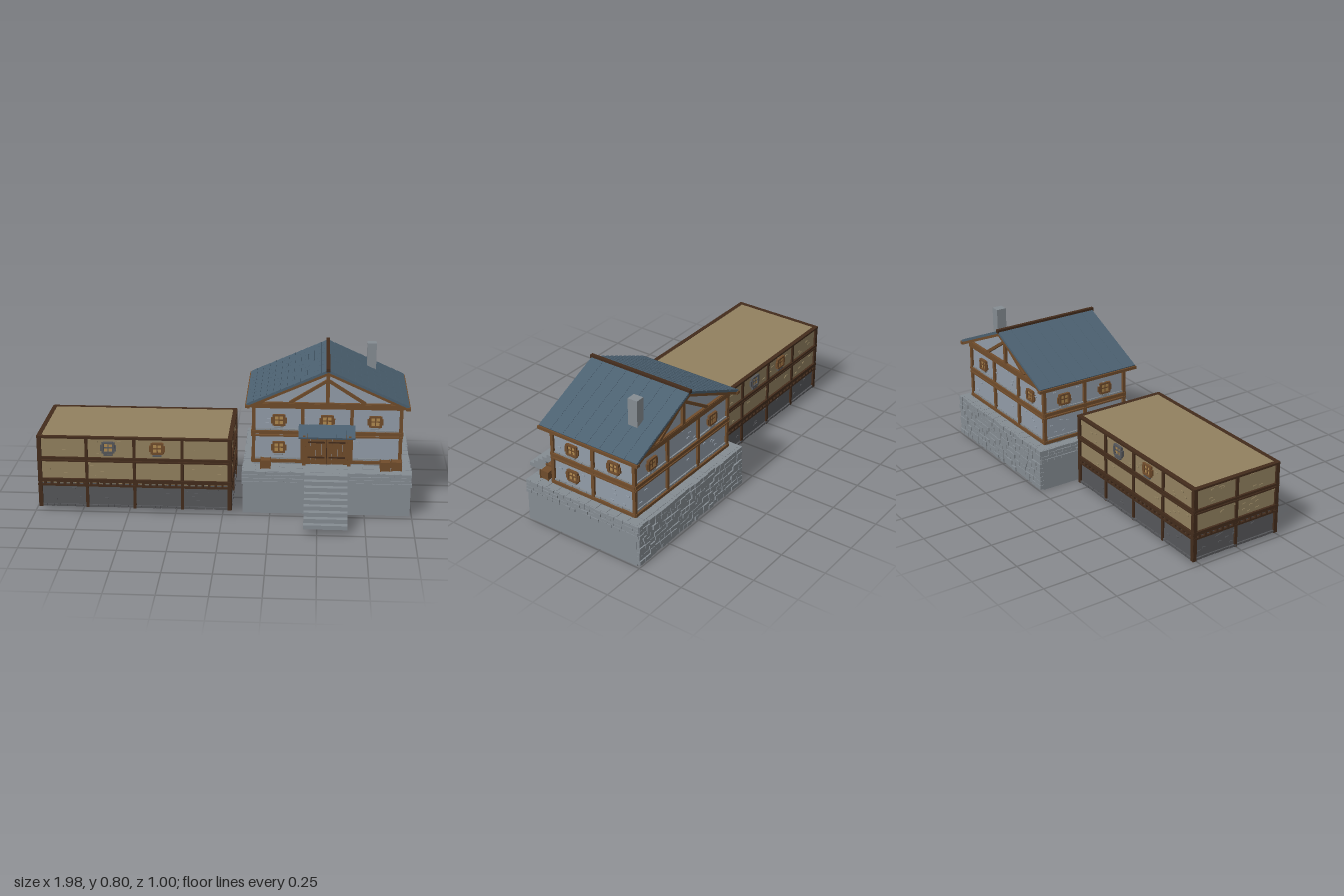
import * as THREE from 'three';
import { mergeGeometries } from 'three/addons/utils/BufferGeometryUtils.js';

const mat = (name, color) => new THREE.MeshStandardMaterial({ name, color });

// axis-aligned box from its limits
const box = (x0, x1, y0, y1, z0, z1) =>
  new THREE.BoxGeometry(x1 - x0, y1 - y0, z1 - z0).translate((x0 + x1) / 2, (y0 + y1) / 2, (z0 + z1) / 2);

// beam between two points of an upright plane
const strut = (xa, ya, xb, yb, w, z0, z1) =>
  new THREE.BoxGeometry(Math.hypot(xb - xa, yb - ya), w, z1 - z0)
    .rotateZ(Math.atan2(yb - ya, xb - xa))
    .translate((xa + xb) / 2, (ya + yb) / 2, (z0 + z1) / 2);

function add(parent, name, material, geos) {
  const mesh = new THREE.Mesh(mergeGeometries([geos].flat()), material);
  mesh.name = name;
  parent.add(mesh);
  return mesh;
}

function group(parent, name, x = 0, y = 0, z = 0, turn = 0) {
  const g = new THREE.Group();
  g.name = name;
  g.position.set(x, y, z);
  g.rotation.y = turn;
  parent.add(g);
  return g;
}

export function createModel() {
  const M = {
    stone: mat('stone', 0x858c92),
    plaster: mat('greyPlaster', 0x929ca8),
    timber: mat('timber', 0x704c2b),
    roof: mat('slateBlue', 0x4b6070),
    darkTimber: mat('darkTimber', 0x432c1c),
    tan: mat('tanPlaster', 0x92815f),
    darkStone: mat('darkStone', 0x56575a),
    glass: mat('warmGlass', 0xb08a50),
  };
  let seed = 7;
  const rnd = () => (seed = (seed * 16807) % 2147483647) / 2147483647;
  const model = new THREE.Group();
  model.name = 'inn';

  // courses of irregular stones on a wall facing local +z
  function stones(u0, u1, y0, y1, rows, size, depth) {
    const out = [], h = (y1 - y0) / rows;
    for (let r = 0; r < rows; r++) {
      for (let u = u0; u < u1 - 0.002;) {
        let e = u + size * (0.7 + 0.6 * rnd());
        if (e > u1 - size * 0.5) e = u1;
        out.push(box(u + 0.001, e - 0.001, y0 + r * h + 0.001, y0 + (r + 1) * h - 0.001, -0.004, depth * (0.6 + 0.4 * rnd())));
        u = e;
      }
    }
    return out;
  }

  // four-pane window with frame, side blocks and sill, facing local +z
  function windowAt(face, x, y, frame, sill) {
    const g = group(face, 'window', x, y, 0);
    add(g, 'panes', M.glass, box(-0.023, 0.023, -0.024, 0.024, 0, 0.006));
    const f = [box(-0.003, 0.003, -0.024, 0.024, 0, 0.009), box(-0.023, 0.023, -0.003, 0.003, 0, 0.009)];
    for (const s of [-1, 1]) {
      f.push(box(s * 0.028 - 0.006, s * 0.028 + 0.006, -0.03, 0.03, 0, 0.013));
      f.push(box(s * 0.037 - 0.005, s * 0.037 + 0.005, -0.018, 0.014, 0, 0.01));
      f.push(box(-0.027, 0.027, s * 0.027 - 0.005, s * 0.027 + 0.005, 0, 0.014));
    }
    add(g, 'frame', frame, f);
    add(g, 'sill', sill, box(-0.025, 0.022, -0.044, -0.035, 0, 0.012));
  }

  // small stones showing through the plaster
  function chips(width, y0, y1, n) {
    return Array.from({ length: n }, () => {
      const x = (rnd() - 0.5) * width * 0.92, y = y0 + (y1 - y0) * rnd();
      return box(x, x + 0.018, y, y + 0.007, -0.002, 0.004);
    });
  }

  // ---- Terrace ----
  const terrace = group(model, 'terrace');
  add(terrace, 'base', M.stone, [box(0.105, 0.99, 0, 0.165, -0.478, 0.212), box(0.108, 0.985, 0.16, 0.234, -0.478, 0.212)]);
  const sides = [
    ['front', 0.545, 0.21, 0, 0.445], ['left', 0.985, -0.135, Math.PI / 2, 0.355], ['right', 0.108, -0.135, -Math.PI / 2, 0.355],
  ];
  for (const [n, x, z, turn, half] of sides) {
    const g = group(terrace, n + 'Band', x, 0, z, turn);
    const spans = n === 'front' ? [[-half, -0.12], [0.12, half]] : [[-half, half]];
    for (const [a, b] of spans) add(g, 'stones', M.stone, stones(a, b, 0.163, 0.236, 4, 0.04, 0.011));
  }
  const rear = group(terrace, 'rearStonework', 0.545, 0, -0.478, Math.PI);
  add(rear, 'stones', M.stone, stones(-0.445, 0.445, 0.008, 0.236, 9, 0.04, 0.022));
  const paving = [];
  for (let i = 0; i < 14; i++) for (let k = 0; k < 11; k++) {
    const x = 0.108 + i * 0.0627, z = -0.478 + k * 0.063;
    paving.push(box(x + 0.001, x + 0.0617, 0.23, 0.235 + 0.002 * rnd(), z + 0.001, z + 0.062));
  }
  add(terrace, 'paving', M.stone, paving);

  // Stairs: stepped top, three stepped blocks underneath
  const prof = [[0.2, 0.033 + 0.134], [0.295, 0.167], [0.295, 0.1], [0.385, 0.1], [0.385, 0.033], [0.5, 0.033]];
  for (let i = 0; i < 9; i++) {
    const y = 0.055 + i * 0.0225, z = 0.5 - i * 0.0305;
    prof.push([z, y], [i === 8 ? 0.2 : z - 0.0305, y]);
  }
  const stairs = new THREE.ExtrudeGeometry(new THREE.Shape(prof.map(([z, y]) => new THREE.Vector2(z, y))), { depth: 0.226, bevelEnabled: false });
  add(terrace, 'stairs', M.stone, stairs.rotateY(-Math.PI / 2).translate(0.656, 0, 0));

  // ---- House walls ----
  const house = group(model, 'house');
  add(house, 'walls', M.plaster, box(0.158, 0.932, 0.235, 0.575, -0.426, 0.076));
  const faces = [
    ['front', 0.545, 0.076, 0, 0.39, 3, [[-0.255, 0.48], [0, 0.48], [0.255, 0.48], [-0.255, 0.328]]],
    ['back', 0.545, -0.426, Math.PI, 0.39, 3, [[-0.255, 0.48], [0.255, 0.48]]],
    ['left', 0.932, -0.175, Math.PI / 2, 0.254, 2, [[-0.13, 0.478], [0.13, 0.478], [-0.13, 0.328]]],
    ['right', 0.158, -0.175, -Math.PI / 2, 0.254, 2, [[-0.13, 0.478], [0.13, 0.478]]],
  ];
  for (const [n, x, z, turn, half, bays, wins] of faces) {
    const f = group(house, n + 'Wall', x, 0, z, turn), beams = [];
    for (let i = 0; i <= bays; i++) {
      const u = -half + (2 * half * i) / bays;
      beams.push(box(u - 0.009, u + 0.009, 0.25, 0.57, -0.004, 0.012));
    }
    for (const [a, b] of [[0.244, 0.26], [0.39, 0.398], [0.404, 0.422], [0.548, 0.575]])
      beams.push(box(-half - 0.008, half + 0.008, a, b, -0.004, 0.016));
    add(f, 'timberFrame', M.timber, beams);
    add(f, 'footStones', M.stone, [
      ...stones(-half, half, 0.235, 0.245, 1, 0.04, 0.012),
      ...stones(-half, half, 0.26, 0.272, 1, 0.04, 0.009),
      ...stones(-half, half, 0.422, 0.432, 1, 0.04, 0.009)]);
    add(f, 'bareStones', M.plaster, [...chips(2 * half, 0.28, 0.375, 8), ...chips(2 * half, 0.44, 0.535, 8)]);
    for (const [u, y] of wins) windowAt(f, u, y, M.timber, M.stone);
  }

  // Gables with king post and braces
  const tri = new THREE.Shape([[0.125, 0.57], [0.965, 0.57], [0.545, 0.76]].map(p => new THREE.Vector2(...p)));
  add(house, 'gableWall', M.plaster, new THREE.ExtrudeGeometry(tri, { depth: 0.5, bevelEnabled: false }).translate(0, 0, -0.425));
  for (const [a, b] of [[0.07, 0.09], [-0.44, -0.42]]) {
    const g = [box(0.535, 0.555, 0.57, 0.755, a, b), box(0.12, 0.97, 0.563, 0.58, a, b)];
    for (const s of [-1, 1]) g.push(strut(0.545 + s * 0.2, 0.578, 0.545, 0.705, 0.016, a, b));
    add(house, 'gableFrame', M.timber, g);
  }

  // ---- Roof ----
  const roof = group(model, 'roof');
  const tilt = Math.atan2(0.19, 0.425), len = Math.hypot(0.19, 0.425);
  for (const s of [-1, 1]) {
    const g = group(roof, s > 0 ? 'leftSlope' : 'rightSlope', 0.545 + s * 0.2125, 0.672, -0.172);
    g.rotation.z = -s * tilt;
    const tiles = [box(-len / 2, len / 2, -0.006, 0.004, -0.302, 0.302)];
    for (let c = 0; c < 8; c++) for (let r = 0; r < 12; r++) {
      tiles.push(new THREE.BoxGeometry(len / 12 + 0.002, 0.004, 0.0745).rotateZ(-s * 0.05)
        .translate(-len / 2 + (r + 0.5) * len / 12, 0.005, -0.264 + c * 0.0755));
    }
    add(g, 'tiles', M.roof, tiles);
    add(g, 'rafters', M.timber, [-0.293, 0.293].map(z => box(-len / 2, len / 2, -0.02, -0.004, z - 0.008, z + 0.008)));
    const x = 0.545 + s * 0.422;
    add(roof, 'eavesBeam', M.timber, box(x - 0.012, x + 0.012, 0.56, 0.576, -0.478, 0.136));
  }
  add(roof, 'ridgeBeam', M.darkTimber, box(0.535, 0.555, 0.764, 0.783, -0.478, 0.138));
  add(roof, 'chimney', M.stone, [box(0.76, 0.81, 0.63, 0.803, -0.354, -0.298)]);

  // ---- Porch ----
  const porch = group(model, 'porch');
  const doors = [], bars = [];
  for (let i = 0; i < 8; i++) doors.push(box(0.432 + i * 0.0285, 0.459 + i * 0.0285, 0.24, 0.4, 0.076, 0.096));
  add(porch, 'doubleDoor', M.timber, doors);
  for (const y of [0.275, 0.36]) bars.push(box(0.445, 0.535, y, y + 0.008, 0.09, 0.1), box(0.555, 0.645, y, y + 0.008, 0.09, 0.1));
  bars.push(box(0.543, 0.547, 0.24, 0.4, 0.09, 0.099));
  add(porch, 'doorFittings', M.darkTimber, bars);
  const frame = [box(0.42, 0.67, 0.4, 0.416, 0.075, 0.108)];
  for (const x of [0.425, 0.665]) {
    frame.push(box(x - 0.009, x + 0.009, 0.236, 0.425, 0.075, 0.108));
    frame.push(new THREE.BoxGeometry(0.012, 0.01, 0.135).rotateX(-0.17).translate(x, 0.426, 0.155));
  }
  add(porch, 'doorFrame', M.timber, frame);
  add(porch, 'lintelPanel', M.glass, box(0.435, 0.655, 0.417, 0.43, 0.076, 0.09));
  const canopy = add(porch, 'canopy', M.roof, Array.from({ length: 6 }, (_, i) => box(-0.15 + i * 0.05, -0.1015 + i * 0.05, -0.005, 0.005, -0.068, 0.068)));
  canopy.position.set(0.545, 0.444, 0.158);
  canopy.rotation.x = 0.2;

  // Crates on the terrace
  for (const [x, z] of [[0.222, 0.15], [0.855, 0.152], [0.915, 0.142]]) {
    const c = group(porch, 'crate', x, 0.236, z);
    add(c, 'body', M.timber, box(-0.024, 0.024, 0.002, 0.048, -0.024, 0.024));
    const e = [];
    for (const a of [-1, 1]) for (const b of [-1, 1])
      e.push(box(a * 0.025 - 0.003, a * 0.025 + 0.003, 0, 0.05, b * 0.025 - 0.003, b * 0.025 + 0.003));
    add(c, 'corners', M.timber, e);
  }

  // ---- Long hall: open underneath, three storeys of panels ----
  const hall = group(model, 'longHall');
  const hallFaces = [
    ['front', -0.468, 0.232, 0, 0.514, 4, [-0.137, 0.123]],
    ['back', -0.468, -0.28, Math.PI, 0.514, 4, [-0.137, 0.123]],
    ['left', 0.038, -0.024, Math.PI / 2, 0.264, 2, []],
    ['right', -0.974, -0.024, -Math.PI / 2, 0.264, 2, []],
  ];
  for (const [n, x, z, turn, half, bays, wins] of hallFaces) {
    const f = group(hall, n + 'Side', x, 0, z, turn), beams = [];
    const w = half - 0.008;
    add(f, 'lowerPanels', M.darkStone, [box(-w, w, 0.03, 0.155, -0.008, 0), ...chips(2 * w, 0.05, 0.13, 12),
      ...stones(-w, w, 0.022, 0.036, 1, 0.04, 0.01)]);
    add(f, 'upperPanels', M.tan, [box(-w, w, 0.155, 0.412, -0.008, 0), ...chips(2 * w, 0.19, 0.27, 12), ...chips(2 * w, 0.315, 0.4, 12)]);
    for (let i = 0; i <= bays; i++) {
      const u = -half + 0.006 + ((2 * half - 0.012) * i) / bays;
      beams.push(box(u - 0.008, u + 0.008, 0.02, 0.415, -0.012, 0.009));
    }
    for (const [a, b] of [[0.14, 0.15], [0.163, 0.182], [0.278, 0.286], [0.29, 0.303], [0.407, 0.418]])
      beams.push(box(-half, half, a, b, -0.012, 0.012));
    // joist ends between the storeys
    for (let u = -half + 0.03; u < half - 0.02; u += 0.035) beams.push(box(u, u + 0.012, 0.149, 0.164, -0.004, 0.013));
    add(f, 'timberFrame', M.darkTimber, beams);
    wins.forEach((u, i) => windowAt(f, u, 0.36, i ? M.timber : M.darkStone, M.darkStone));
  }
  add(hall, 'flatRoof', M.tan, box(-0.978, 0.042, 0.408, 0.4165, -0.284, 0.236));
  return model;
}
